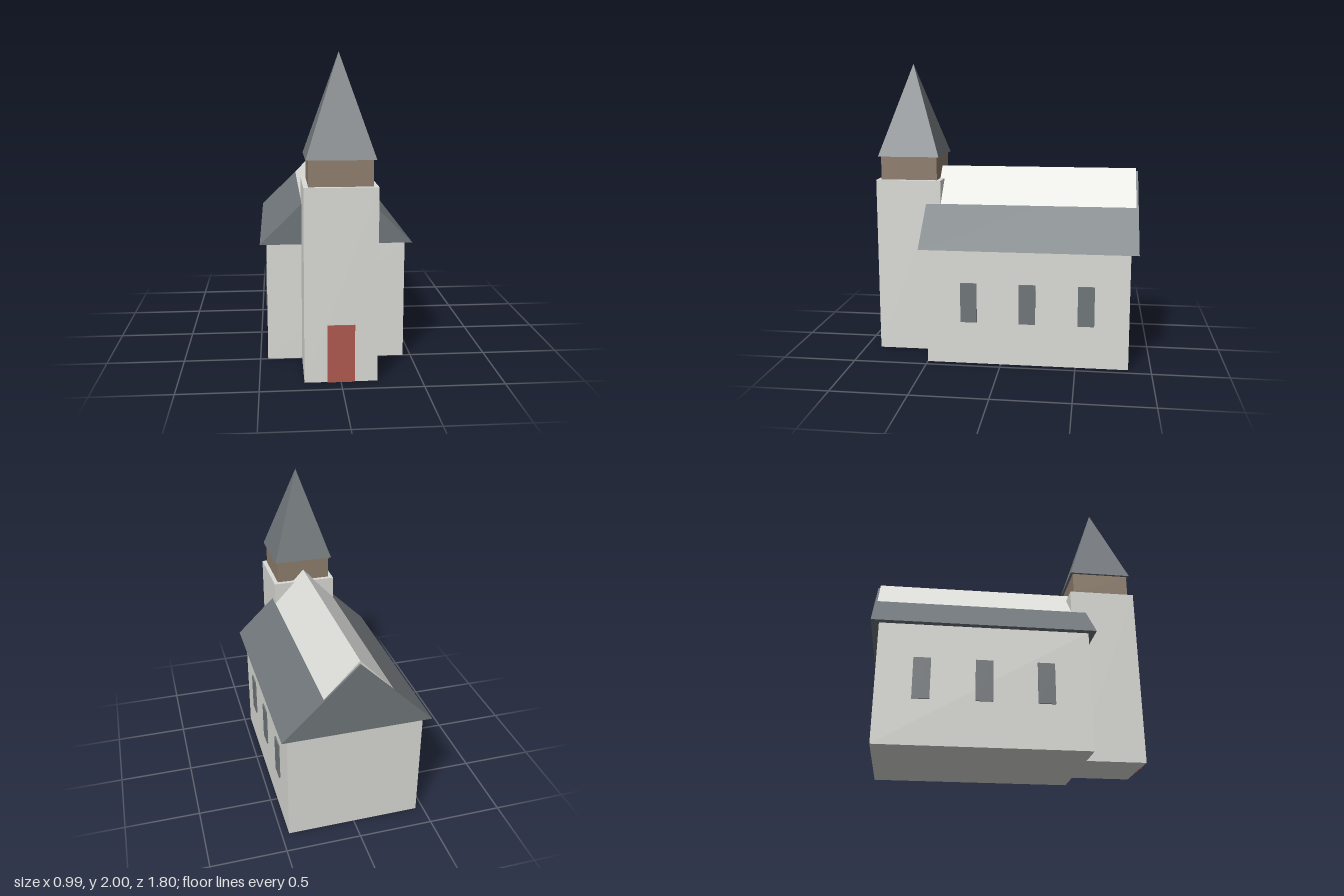
import * as THREE from 'three';

const wall = new THREE.MeshStandardMaterial({ color: 0xdcdcd8 });
wall.name = 'pale wall';
const slate = new THREE.MeshStandardMaterial({ color: 0x70767a });
slate.name = 'slate grey';
const timber = new THREE.MeshStandardMaterial({ color: 0x8f7f6e });
timber.name = 'brown timber';
const red = new THREE.MeshStandardMaterial({ color: 0xb05a50 });
red.name = 'door red';

export function createModel() {
  const model = new THREE.Group();
  model.name = 'church';

  function add(name, geometry, material) {
    const mesh = new THREE.Mesh(geometry, material);
    mesh.name = name;
    model.add(mesh);
    return mesh;
  }

  // Box given by its limits on each axis
  function box(name, material, [x0, x1], [y0, y1], [z0, z1]) {
    const mesh = add(name, new THREE.BoxGeometry(x1 - x0, y1 - y0, z1 - z0), material);
    mesh.position.set((x0 + x1) / 2, (y0 + y1) / 2, (z0 + z1) / 2);
    return mesh;
  }

  // Solid triangular roof running along z
  function gable(name, material, halfWidth, y0, y1, z0, z1) {
    const shape = new THREE.Shape();
    shape.moveTo(-halfWidth, y0);
    shape.lineTo(halfWidth, y0);
    shape.lineTo(0, y1);
    shape.closePath();
    const geometry = new THREE.ExtrudeGeometry(shape, { depth: z1 - z0, bevelEnabled: false });
    add(name, geometry, material).position.z = z0;
  }

  // Nave with a slate roof, and a steeper pale roof breaking through at the ridge
  box('nave', wall, [-0.45, 0.45], [0, 0.79], [-0.85, 0.5]);
  gable('slateRoof', slate, 0.493, 0.787, 1.27, -0.9, 0.545);
  gable('ridgeRoof', wall, 0.463, 0.795, 1.29, -0.885, 0.52);

  // Tower, belfry and spire
  const towerZ = 0.668;
  box('tower', wall, [-0.225, 0.225], [0, 1.21], [0.443, 0.893]);
  box('belfry', timber, [-0.195, 0.195], [1.2, 1.375], [towerZ - 0.195, towerZ + 0.195]);
  const spireGeometry = new THREE.ConeGeometry(0.212 * Math.SQRT2, 0.63, 4)
    .rotateY(Math.PI / 4)
    .toNonIndexed();
  spireGeometry.computeVertexNormals();
  add('spire', spireGeometry, slate).position.set(0, 1.685, towerZ);

  // Door
  box('door', red, [-0.085, 0.085], [0, 0.365], [0.892, 0.9]);

  // Three windows on each side wall
  for (const side of [-1, 1]) {
    for (const z of [0.215, -0.177, -0.567]) {
      const pane = add('window', new THREE.BoxGeometry(0.0095, 0.27, 0.11), slate);
      pane.position.set(side * 0.4545, 0.425, z);
    }
  }

  return model;
}
